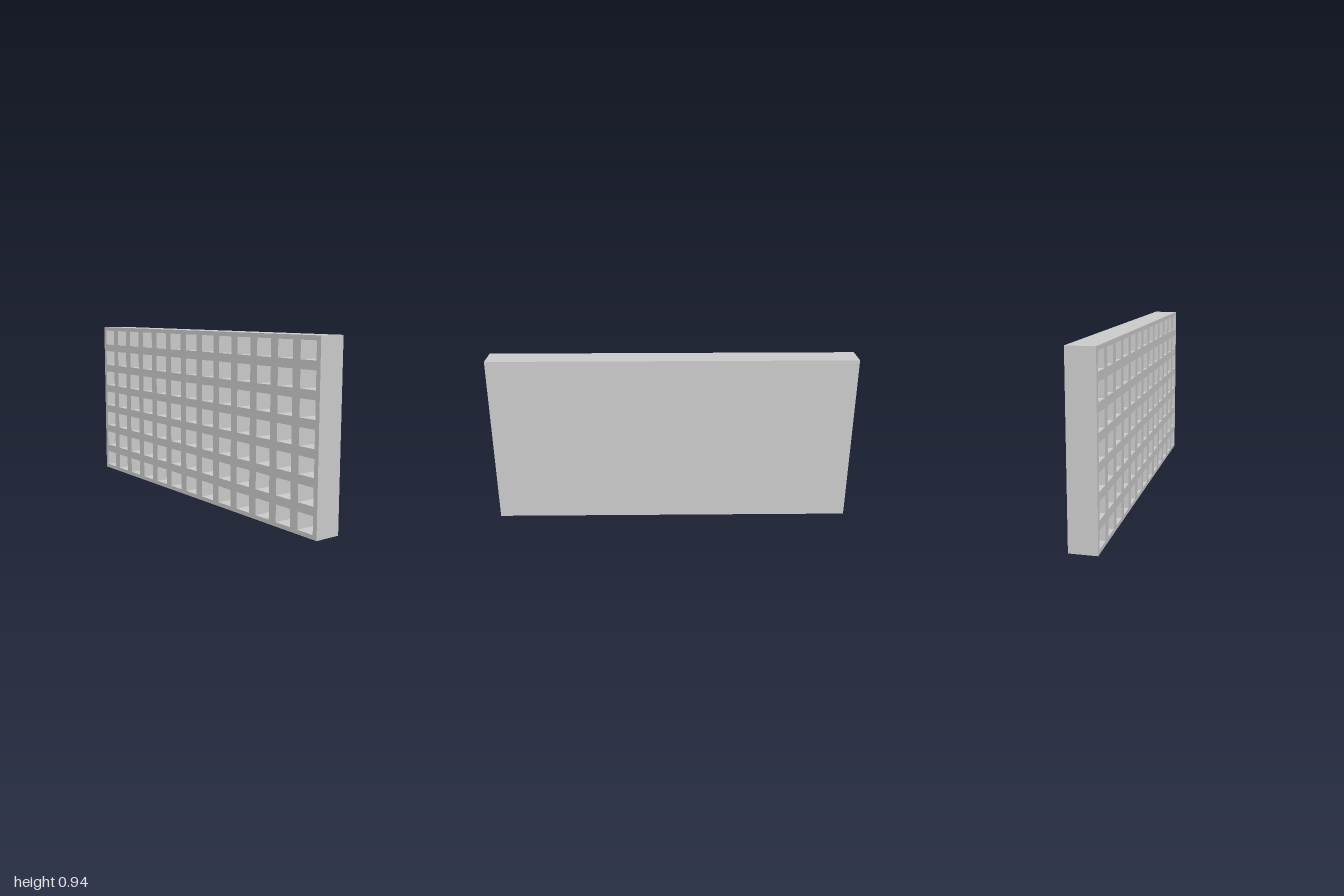
import * as THREE from 'three';

const LENGTH = 2, HEIGHT = 0.942, THICK = 0.142, BACKING = 0.026;
const COLS = 13, ROWS = 7, OPEN = 2 / 3; // share of each cell that is open

export function createModel() {
  const group = new THREE.Group();
  const material = new THREE.MeshStandardMaterial({ color: 0xcccccc, flatShading: true });

  const rect = (path, x, y, w, h) => path
    .moveTo(x, y).lineTo(x + w, y).lineTo(x + w, y + h).lineTo(x, y + h).closePath();

  // Lattice: a slab pierced by a regular grid of rectangular pockets
  const shape = rect(new THREE.Shape(), -LENGTH / 2, 0, LENGTH, HEIGHT);
  const cw = LENGTH / COLS, ch = HEIGHT / ROWS;
  const w = cw * OPEN, h = ch * OPEN;
  for (let i = 0; i < COLS; i++) {
    for (let j = 0; j < ROWS; j++) {
      const x = -LENGTH / 2 + i * cw + (cw - w) / 2;
      const y = j * ch + (ch - h) / 2;
      shape.holes.push(rect(new THREE.Path(), x, y, w, h));
    }
  }
  const latticeGeo = new THREE.ExtrudeGeometry(shape, { depth: THICK - BACKING, bevelEnabled: false });
  latticeGeo.rotateY(-Math.PI / 2).translate(THICK / 2 - BACKING, 0, 0); // pockets open toward -x
  const lattice = new THREE.Mesh(latticeGeo, material);
  lattice.name = 'pocketLattice';
  group.add(lattice);

  // Plain panel that closes the pockets on the +x side
  const panel = new THREE.Mesh(new THREE.BoxGeometry(BACKING, HEIGHT, LENGTH), material);
  panel.position.set((THICK - BACKING) / 2, HEIGHT / 2, 0);
  panel.name = 'backingPanel';
  group.add(panel);

  return group;
}
